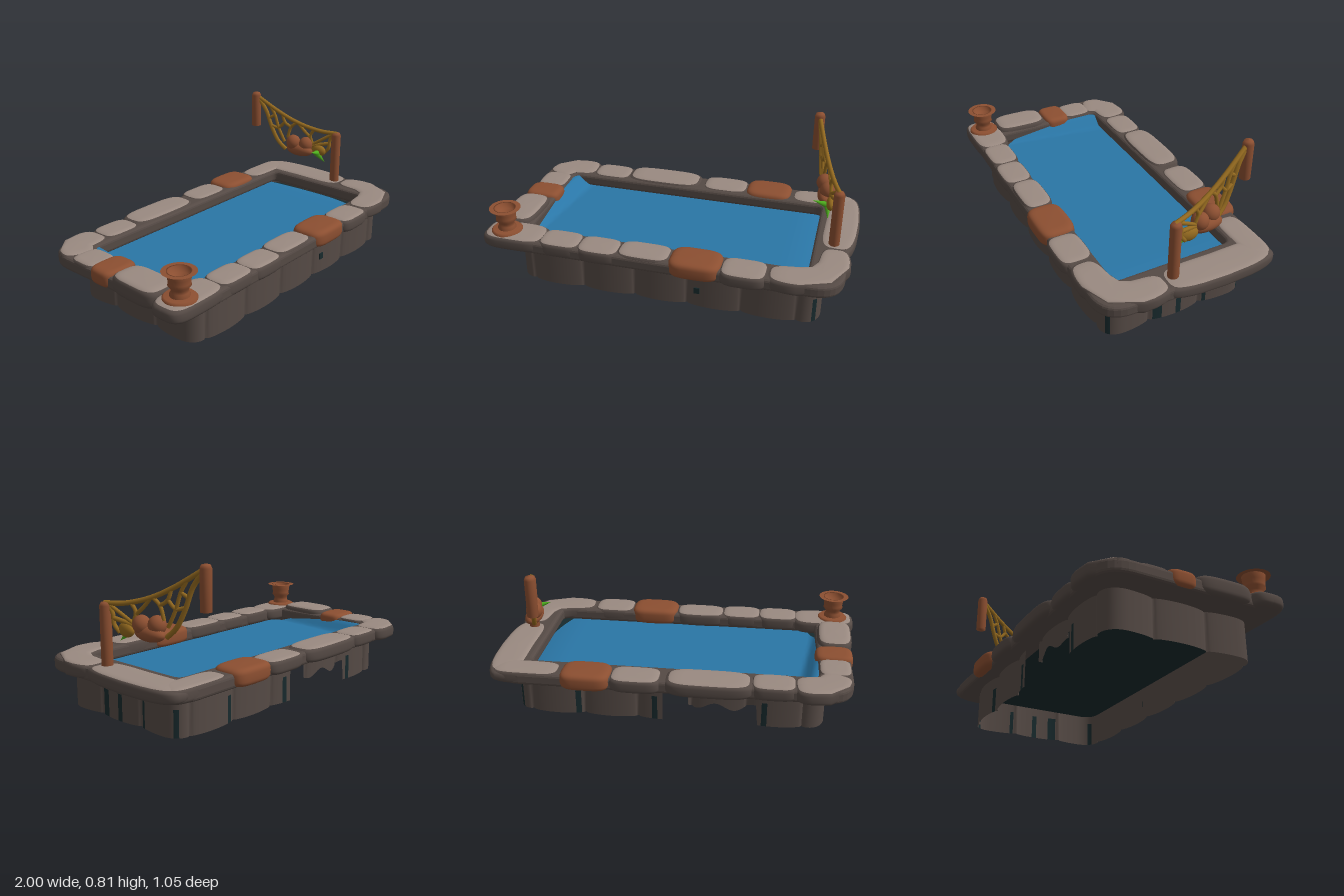
import * as THREE from 'three';

const mat = (name, color, side = THREE.FrontSide) => {
  const m = new THREE.MeshStandardMaterial({ color, side });
  m.name = name;
  return m;
};

export function createModel() {
  const paleStone = mat('pale stone', 0x9a8a81);
  const darkStone = mat('dark stone', 0x554a45, THREE.DoubleSide);
  const clay = mat('terracotta', 0x8c4f31, THREE.DoubleSide);
  const blue = mat('water blue', 0x2a76a6);
  const rope = mat('ochre rope', 0x93691f);
  const green = mat('leaf green', 0x4fb01e);
  const damp = mat('damp teal', 0x182a2d, THREE.DoubleSide);

  const root = new THREE.Group();
  root.name = 'pool';
  const add = (name, geo, material, parent = root) => {
    const m = new THREE.Mesh(geo, material);
    m.name = name;
    parent.add(m);
    return m;
  };
  const group = (name) => {
    const g = new THREE.Group();
    g.name = name;
    root.add(g);
    return g;
  };
  const roundRect = (x0, x1, y0, y1, r, T = THREE.Shape) => {
    const s = new T();
    s.moveTo(x0 + r, y0);
    s.lineTo(x1 - r, y0); s.quadraticCurveTo(x1, y0, x1, y0 + r);
    s.lineTo(x1, y1 - r); s.quadraticCurveTo(x1, y1, x1 - r, y1);
    s.lineTo(x0 + r, y1); s.quadraticCurveTo(x0, y1, x0, y1 - r);
    s.lineTo(x0, y0 + r); s.quadraticCurveTo(x0, y0, x0 + r, y0);
    return s;
  };

  // Rim: mortar frame under the stones
  const frame = roundRect(-0.93, 0.94, -0.47, 0.47, 0.14);
  frame.holes.push(roundRect(-0.79, 0.79, -0.355, 0.345, 0.06, THREE.Path));
  const frameGeo = new THREE.ExtrudeGeometry(frame, {
    depth: 0.036, bevelEnabled: true, bevelThickness: 0.018, bevelSize: 0.02, bevelSegments: 3, curveSegments: 8,
  });
  frameGeo.rotateX(-Math.PI / 2).translate(0, 0.223, 0);
  add('rimMortar', frameGeo, darkStone);

  // Rim stones: rounded blocks bent along a path, pale on top and dark on the sides
  const rim = group('rimStones');
  const W = 32, H = 16;
  const pow = (v, e) => Math.sign(v) * Math.abs(v) ** e;
  function stone(pts, half, top = 0.288, material = null) {
    const curve = new THREE.CatmullRomCurve3(pts.map(([x, z]) => new THREE.Vector3(x, 0, z)));
    const geo = new THREE.SphereGeometry(1, W, H);
    const p = geo.attributes.position;
    for (let i = 0; i < p.count; i++) {
      const y = p.getY(i), r = Math.hypot(p.getX(i), p.getZ(i)) || 1e-6;
      const s = r ** 0.32;
      const u = pow(p.getX(i) / r, 0.5) * s, v = pow(p.getZ(i) / r, 0.55) * s;
      const t = THREE.MathUtils.clamp((u + 1) / 2, 0, 1);
      const c = curve.getPointAt(t), d = curve.getTangentAt(t);
      const mid = (top + 0.205) / 2;
      p.setXYZ(i, c.x - d.z * v * half, mid + pow(y, 0.6) * (top - mid), c.z + d.x * v * half);
    }
    geo.computeVertexNormals();
    const split = 3 * (W + 3 * 2 * W);
    geo.clearGroups();
    geo.addGroup(0, split, 0);
    geo.addGroup(split, geo.index.count - split, 1);
    add('rimStone', geo, material ? [material, material] : [paleStone, darkStone], rim);
  }
  // Back row
  stone([[-0.64, -0.43], [-0.82, -0.41], [-0.88, -0.29]], 0.095);
  stone([[-0.66, -0.42], [-0.42, -0.42]], 0.085);
  stone([[-0.44, -0.43], [0.03, -0.43]], 0.095, 0.293);
  stone([[0.04, -0.43], [0.32, -0.43]], 0.088);
  stone([[0.31, -0.43], [0.58, -0.43]], 0.098, 0.3, clay);
  stone([[0.58, -0.415], [0.96, -0.415]], 0.075, 0.284);
  // Left side
  stone([[-0.86, -0.32], [-0.86, -0.13]], 0.09);
  stone([[-0.86, -0.155], [-0.86, 0.005]], 0.103, 0.298, clay);
  stone([[-0.87, 0], [-0.88, 0.32]], 0.098, 0.308);
  // Front row
  stone([[-1.0, 0.4], [-0.64, 0.4]], 0.1);
  stone([[-0.67, 0.41], [-0.43, 0.41]], 0.085, 0.29);
  stone([[-0.45, 0.415], [-0.21, 0.415]], 0.085);
  stone([[-0.23, 0.405], [0.07, 0.405]], 0.083, 0.29);
  stone([[0.06, 0.415], [0.34, 0.415]], 0.1, 0.302, clay);
  stone([[0.33, 0.425], [0.58, 0.425]], 0.092);
  stone([[0.56, 0.425], [0.81, 0.4], [0.885, 0.31], [0.89, 0.1]], 0.088);
  // Right side
  stone([[0.885, -0.49], [0.9, -0.18], [0.885, 0.15]], 0.098, 0.284);

  // Water: gentle sheet, rounded at the ends, with a slanted ramp on the left
  const water = new THREE.PlaneGeometry(1.62, 0.76, 80, 16).rotateX(-Math.PI / 2);
  const wp = water.attributes.position;
  for (let i = 0; i < wp.count; i++) {
    const z = wp.getZ(i);
    const x = wp.getX(i) * (1 - (z > 0 ? 0.9 : 0.35) * z * z);
    const left = Math.max(0, -0.72 - 0.14 * z - x);
    const right = Math.max(0, x - 0.62);
    wp.setXYZ(i, x, 0.206 + Math.min(0.06, left * 0.9) - right * right * 0.6, z);
  }
  water.computeVertexNormals();
  add('water', water, blue);

  // Base wall: scalloped open skirt with damp streaks and a broken stretch at the back
  const outline = roundRect(-0.785, 0.825, -0.38, 0.41, 0.09).getSpacedPoints(480);
  const n = 480, levels = [0, 0.14, 0.225];
  const pos = [], dry = [], wet = [];
  const brokenAt = ({ x, y }) => y < -0.35 && x > -0.46 && x < 0.04;
  for (let i = 0; i <= n; i++) {
    const p = outline[i % n], a = outline[(i + n - 1) % n], b = outline[(i + 1) % n];
    const d = b.clone().sub(a).normalize();
    const push = 0.028 * Math.sqrt(Math.abs(Math.sin(i * Math.PI / 30)));
    const ragged = 0.1 + 0.02 * Math.sin(i * 0.3);
    levels.forEach((y, k) =>
      pos.push(p.x + d.y * push, k === 0 && brokenAt(p) ? ragged : y, p.y - d.x * push));
  }
  // Each streak: x, z, half width
  const streaks = [[0.825, 0.125, 0.026], [0.825, 0.01, 0.014], [0.825, -0.15, 0.012], [0.81, 0.385, 0.012],
    [0.81, -0.355, 0.012], [0.5, -0.38, 0.01], [0.08, -0.38, 0.014], [-0.5, -0.38, 0.012]];
  for (let i = 0; i < n; i++) {
    const { x, y: z } = outline[i];
    if (brokenAt(outline[i]) && x > -0.1) continue;
    for (let k = 0; k < 2; k++) {
      const a = i * 3 + k, b = a + 3;
      const isWet = k === 0 && streaks.some(([sx, sz, r]) => Math.hypot(x - sx, z - sz) < r);
      (isWet ? wet : dry).push(a, a + 1, b, b, a + 1, b + 1);
    }
  }
  const wall = new THREE.BufferGeometry();
  wall.setAttribute('position', new THREE.Float32BufferAttribute(pos, 3));
  wall.setIndex([...dry, ...wet]);
  wall.addGroup(0, dry.length, 0);
  wall.addGroup(dry.length, wet.length, 1);
  wall.computeVertexNormals();
  add('baseWall', wall, [darkStone, damp]);

  // Damp spot on the front of the wall
  add('dampSpot', new THREE.BoxGeometry(0.03, 0.035, 0.006), damp).position.set(0.21, 0.1, 0.436);

  // Underside of the basin
  const floor = new THREE.ShapeGeometry(roundRect(-0.785, 0.825, -0.38, 0.41, 0.09)).rotateX(Math.PI / 2);
  add('basinUnderside', floor.translate(0, 0.18, 0), damp);

  // Urn on the front corner, with a wide flat brim
  const urn = group('urn');
  urn.position.set(-0.875, 0, 0.4);
  const lathe = (pts) => new THREE.LatheGeometry(pts.map(([r, y]) => new THREE.Vector2(r, y)), 28);
  add('urnBowl', lathe([[0.048, 0.28], [0.05, 0.305], [0.043, 0.318], [0.042, 0.335], [0.056, 0.352], [0.053, 0.366],
    [0.056, 0.39], [0.06, 0.422], [0.054, 0.42], [0.046, 0.39], [0, 0.38]]), clay, urn);
  add('urnBrim', new THREE.RingGeometry(0.057, 0.085, 28).rotateX(-Math.PI / 2).translate(0, 0.421, 0), clay, urn);
  add('urnBase', lathe([[0.085, 0.27], [0.085, 0.288], [0.075, 0.298], [0, 0.3]]), clay, urn);

  // Posts that hold the hanging net
  const posts = group('netPosts');
  for (const [x, z, y0, y1] of [[0.875, 0.072, 0.27, 0.6], [0.703, -0.437, 0.59, 0.812]]) {
    const r = 0.029;
    add('post', lathe([[0, y0], [r, y0], [r, y1 - 0.022], [r * 0.75, y1 - 0.006], [0, y1]]), clay, posts)
      .position.set(x, 0, z);
  }

  // Net: strands laid in the slanted plane between the posts, given as [z, y]
  const net = group('net');
  const at = ([z, y]) => new THREE.Vector3(0.848 + z * 0.335, y, z);
  const strand = (r, ...pts) =>
    add('strand', new THREE.TubeGeometry(new THREE.CatmullRomCurve3(pts.map(at)), 20, r, 7), rope, net);
  strand(0.013, [0.08, 0.59], [-0.03, 0.597], [-0.16, 0.632], [-0.28, 0.69], [-0.43, 0.785]);
  strand(0.013, [-0.43, 0.78], [-0.375, 0.7], [-0.335, 0.59], [-0.29, 0.5], [-0.24, 0.45]);
  strand(0.011, [0.06, 0.59], [0.035, 0.54], [0.03, 0.49], [0, 0.45]);
  strand(0.01, [0.055, 0.585], [0, 0.55], [-0.06, 0.51], [-0.1, 0.48]);
  strand(0.01, [-0.06, 0.605], [-0.085, 0.56], [-0.07, 0.5]);
  strand(0.01, [-0.17, 0.64], [-0.13, 0.59], [-0.09, 0.55]);
  strand(0.01, [-0.17, 0.64], [-0.21, 0.6], [-0.23, 0.53]);
  strand(0.01, [-0.27, 0.69], [-0.25, 0.63], [-0.21, 0.6]);
  strand(0.01, [-0.25, 0.63], [-0.29, 0.59], [-0.335, 0.6]);
  strand(0.01, [-0.35, 0.735], [-0.315, 0.67], [-0.29, 0.59], [-0.25, 0.5]);
  strand(0.01, [-0.315, 0.67], [-0.355, 0.645]);
  strand(0.012, [0.03, 0.52], [-0.03, 0.505], [-0.08, 0.49]);

  // Bundle resting in the net
  const lump = (name, z, y, rx, ry, rz, material) => {
    const m = add(name, new THREE.SphereGeometry(1, 24, 16), material, net);
    m.position.copy(at([z, y])).x += -0.005;
    m.scale.set(rx, ry, rz);
  };
  lump('sack', -0.03, 0.467, 0.026, 0.037, 0.052, rope);
  lump('bundleBase', -0.15, 0.46, 0.045, 0.04, 0.098, clay);
  lump('bundleLump', -0.11, 0.5, 0.045, 0.047, 0.045, clay);
  lump('bundleLump', -0.19, 0.505, 0.045, 0.047, 0.046, clay);

  // Leaves sticking out of the bundle
  const leaf = (from, to) => {
    const a = new THREE.Vector3(...from), d = new THREE.Vector3(...to).sub(a);
    const m = add('leaf', new THREE.ConeGeometry(0.021, d.length(), 10).translate(0, d.length() / 2, 0), green, net);
    m.position.copy(a);
    m.quaternion.setFromUnitVectors(new THREE.Vector3(0, 1, 0), d.clone().normalize());
  };
  leaf([0.815, 0.455, -0.03], [0.825, 0.402, 0.028]);
  leaf([0.82, 0.455, -0.025], [0.735, 0.48, -0.015]);

  return root;
}
